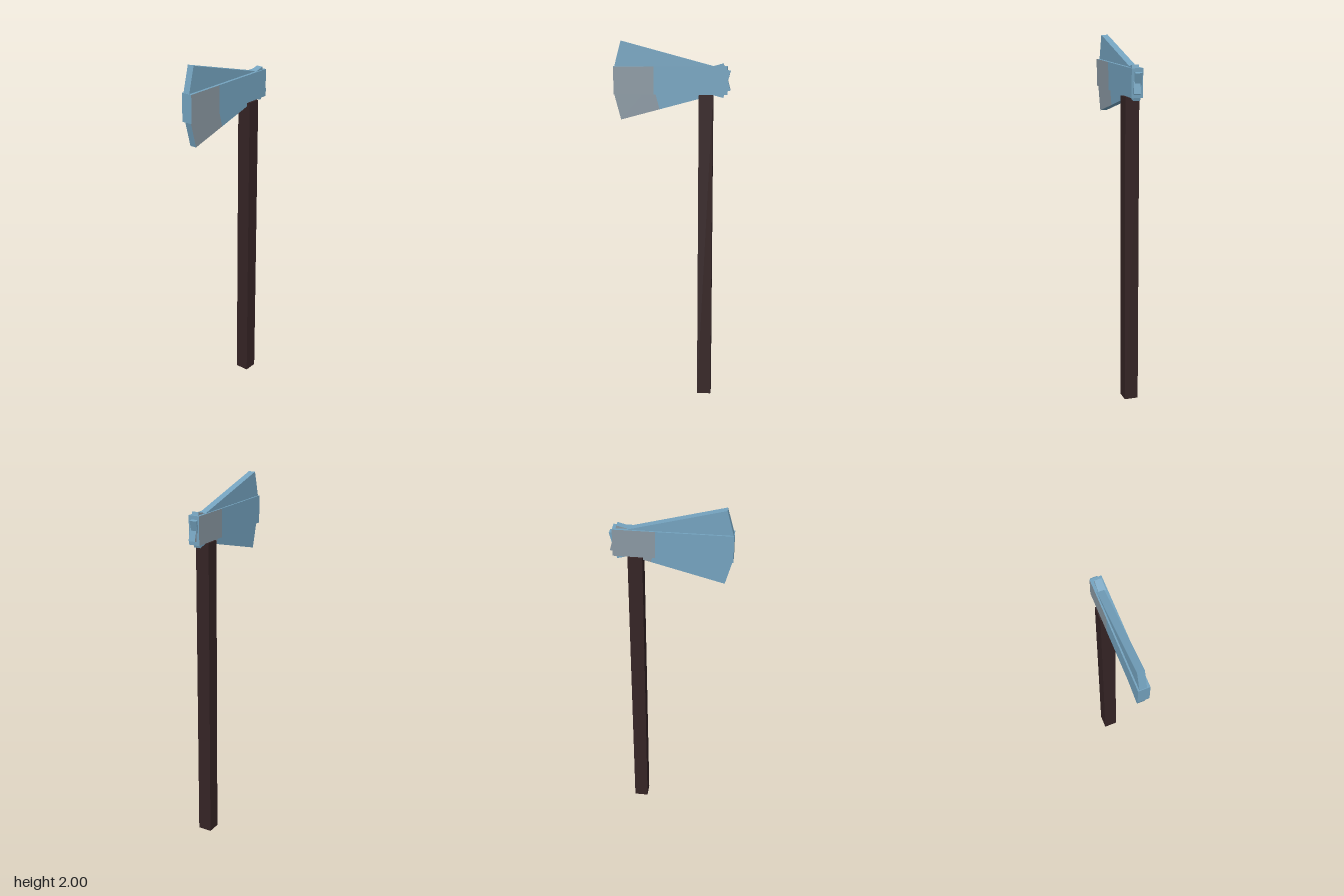
import * as THREE from 'three';

const steel = new THREE.MeshStandardMaterial({ color: 0x74a3bf });
steel.name = 'blue steel';
const worn = new THREE.MeshStandardMaterial({ color: 0x8a98a2 });
worn.name = 'grey worn steel';
const wood = new THREE.MeshStandardMaterial({ color: 0x352425 });
wood.name = 'dark wood';

function bar(name, size, position, material, tilt = 0) {
  const mesh = new THREE.Mesh(new THREE.BoxGeometry(...size), material);
  mesh.name = name;
  mesh.position.set(...position);
  mesh.rotation.z = tilt;
  return mesh;
}

// Steel bar whose front and back faces are grey over the leftmost 35 percent, as seen from outside
function wornBar(name, size, position, tilt = 0) {
  const mesh = bar(name, size, position, [steel, worn], tilt);
  const geometry = new THREE.BoxGeometry(...size, 3, 1, 1);
  const p = geometry.attributes.position;
  for (let i = 0; i < p.count; i++) {
    const x = p.getX(i);
    if (Math.abs(x) < size[0] * 0.4) p.setX(i, Math.sign(x) * size[0] * 0.145);
  }
  geometry.clearGroups();
  [[0, 48, 0], [48, 6, 1], [54, 12, 0], [66, 6, 1], [72, 12, 0]].forEach((g) => geometry.addGroup(...g));
  mesh.geometry = geometry;
  return mesh;
}

export function createModel() {
  const axe = new THREE.Group();
  axe.name = 'axe';
  const tilt = Math.PI / 12;

  axe.add(bar('handle', [0.077, 1.71, 0.077], [0.186, 0.855, 0], wood));

  // Head: a straight bar with two thinner bars fanned out through it
  axe.add(wornBar('headCore', [0.622, 0.152, 0.062], [-0.009, 1.788, -0.001]));
  axe.add(bar('upperBlade', [0.62, 0.15, 0.038], [0, 1.8475, -0.005], steel, -tilt));
  axe.add(wornBar('lowerBlade', [0.62, 0.15, 0.038], [0, 1.7275, 0.003], tilt));

  return axe;
}
